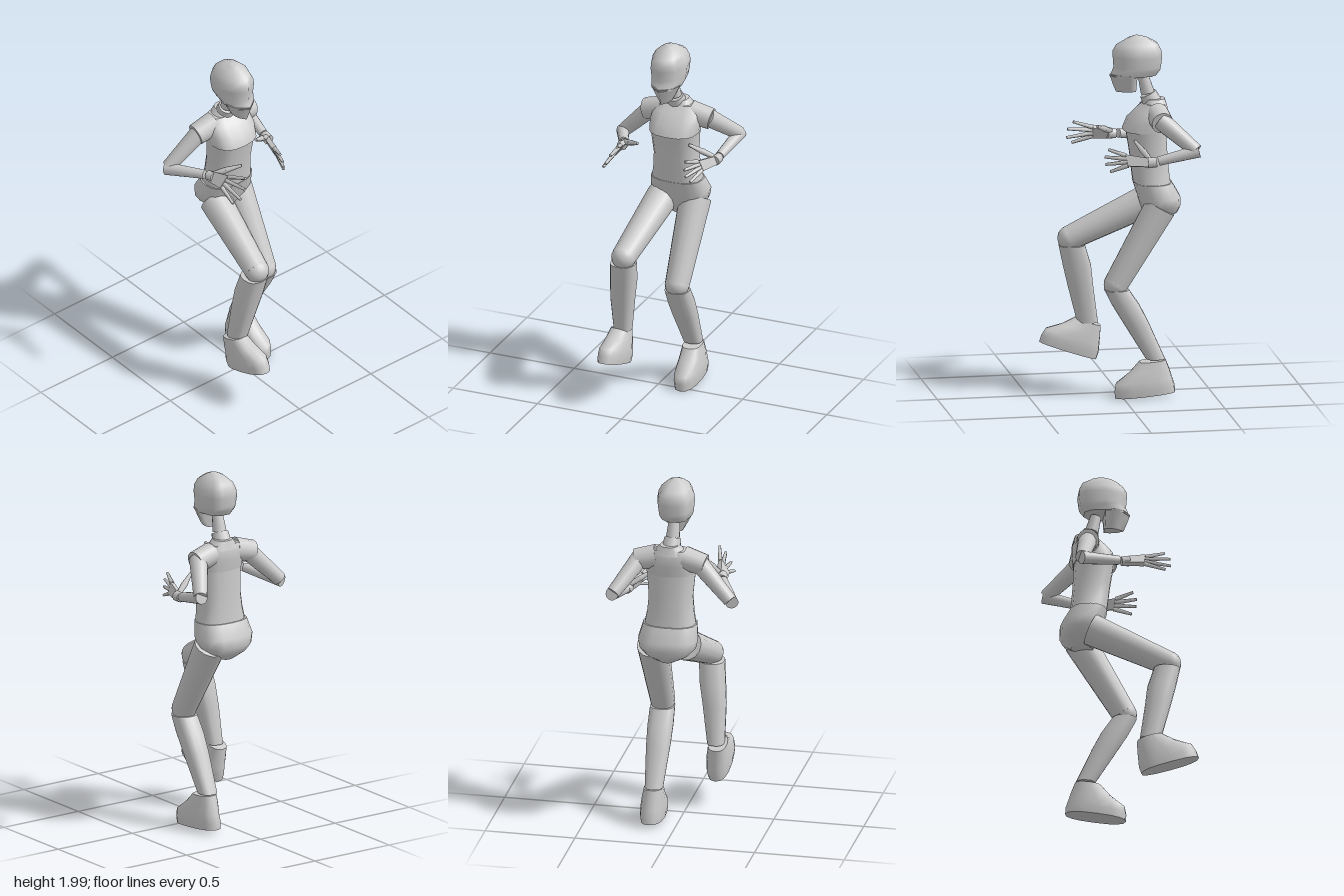
import * as THREE from 'three';
import { ConvexGeometry } from 'three/addons/geometries/ConvexGeometry.js';

const material = new THREE.MeshStandardMaterial({ color: 0xcccccc, side: THREE.DoubleSide });
const V = (p) => new THREE.Vector3(...p);

// Outlines run from the front (z = 1) over +x to the back (z = 0) and round again
const mirrored = (half) => [
  ...half,
  ...half.filter(([x]) => x > 0).reverse().map(([x, z]) => [-x, z]),
];
const oval = Array.from({ length: 16 }, (_, i) => {
  const a = (i / 16) * Math.PI * 2;
  const soft = (v) => Math.sign(v) * Math.abs(v) ** 0.8;
  return [soft(Math.sin(a)), 0.5 + 0.5 * soft(Math.cos(a))];
});
const skull = mirrored([[0, 1], [0.7, 0.83], [1, 0.5], [0.78, 0.12], [0.38, 0]]);
const jawLine = mirrored([[0, 1], [0.75, 0.66], [1, 0.3], [0.9, 0]]);

function add(parent, name, geometry) {
  const mesh = new THREE.Mesh(geometry, material);
  mesh.name = name;
  parent.add(mesh);
  return mesh;
}

// Stacks level rings [y, centreX, halfWidth, zBack, zFront], lowest first, with flat caps
function loft(rings, outline = oval) {
  const n = outline.length;
  const pos = [];
  const index = [];
  const ring = ([y, cx, hw, z0, z1]) =>
    outline.forEach(([x, z]) => pos.push(cx + x * hw, y, z0 + z * (z1 - z0)));
  rings.forEach(ring);
  for (let i = 0; i < rings.length - 1; i++) {
    for (let j = 0; j < n; j++) {
      const a = i * n + j, b = i * n + ((j + 1) % n);
      index.push(a, b, b + n, a, b + n, a + n);
    }
  }
  [rings[0], rings[rings.length - 1]].forEach((r, top) => {
    const start = pos.length / 3;
    ring(r);
    pos.push(r[1], r[0], (r[3] + r[4]) / 2);
    for (let j = 0; j < n; j++) {
      const a = start + j, b = start + ((j + 1) % n);
      index.push(...(top ? [a, b, start + n] : [b, a, start + n]));
    }
  });
  const g = new THREE.BufferGeometry();
  g.setAttribute('position', new THREE.Float32BufferAttribute(pos, 3));
  g.setIndex(index);
  g.computeVertexNormals();
  return g;
}

// Tapered round bar from point a to point b
function limb(parent, name, a, b, ra, rb, sides = 14) {
  const from = V(a), to = V(b);
  const dir = to.clone().sub(from);
  const mesh = add(parent, name, new THREE.CylinderGeometry(rb, ra, dir.length(), sides));
  mesh.position.copy(from).add(to).multiplyScalar(0.5);
  mesh.quaternion.setFromUnitVectors(new THREE.Vector3(0, 1, 0), dir.normalize());
  return mesh;
}

function ball(parent, name, p, r) {
  add(parent, name, new THREE.SphereGeometry(r, 16, 10)).position.set(...p);
}

// Flat palm between the wrist and the knuckles, with four fingers and a thumb
function hand(parent, name, { wrist, index, pinky, tips, thumb }) {
  const group = new THREE.Group();
  group.name = name;
  parent.add(group);
  const w = V(wrist), k0 = V(index), k1 = V(pinky);
  const across = k0.clone().sub(k1);
  const normal = across.clone().cross(k0.clone().sub(w)).normalize();
  const corners = [
    k0, k1,
    w.clone().addScaledVector(across, 0.36),
    w.clone().addScaledVector(across, -0.36),
  ];
  const points = corners.flatMap((c) => [
    c.clone().addScaledVector(normal, 0.013),
    c.clone().addScaledVector(normal, -0.013),
  ]);
  add(group, 'palm', new ConvexGeometry(points));
  tips.forEach((tip, i) => {
    const root = k0.clone().lerp(k1, 0.08 + i * 0.28);
    limb(group, 'finger', root.toArray(), tip, 0.013, 0.008, 6);
  });
  const mid = V(thumb[0]).lerp(V(thumb[1]), 0.45).toArray();
  limb(group, 'thumbBase', thumb[0], mid, 0.014, 0.018, 6);
  limb(group, 'thumbTip', mid, thumb[1], 0.017, 0.008, 6);
}

function foot(parent, name, position, pitch, yaw) {
  const mesh = add(parent, name, loft([
    [0, 0, 0.062, 0, 0.335],
    [0.04, 0, 0.068, 0, 0.335],
    [0.08, 0, 0.066, 0.01, 0.325],
    [0.13, -0.003, 0.06, 0.022, 0.245],
    [0.185, -0.006, 0.052, 0.038, 0.185],
  ]));
  mesh.position.set(...position);
  mesh.rotation.set(pitch, yaw, 0);
}

export function createModel() {
  const model = new THREE.Group();
  model.name = 'posedFigure';

  // Head and neck
  const hx = 0.022;
  add(model, 'cranium', loft([
    [1.78, hx, 0.083, -0.2, 0.052],
    [1.81, hx, 0.095, -0.222, 0.038],
    [1.83, hx, 0.098, -0.226, 0.03],
    [1.885, hx, 0.105, -0.233, 0.034],
    [1.92, hx, 0.099, -0.228, 0.036],
    [1.955, hx, 0.082, -0.212, 0.015],
    [1.985, hx, 0.05, -0.16, -0.04],
    [2.0, hx, 0.015, -0.115, -0.08],
  ], skull));
  add(model, 'jaw', loft([
    [1.69, hx, 0.032, -0.09, 0.016],
    [1.73, hx, 0.055, -0.09, 0.032],
    [1.79, hx, 0.084, -0.09, 0.053],
  ], jawLine));
  limb(model, 'neck', [0.034, 1.58, -0.205], [0.028, 1.675, -0.16], 0.058, 0.046);
  limb(model, 'throat', [0.028, 1.68, -0.158], [0.025, 1.77, -0.135], 0.038, 0.03);

  // Torso
  const tx = 0.038;
  add(model, 'collar', loft([
    [1.6, tx, 0.1, -0.265, -0.13],
    [1.65, tx, 0.052, -0.25, -0.145],
  ]));
  add(model, 'chest', loft([
    [1.48, tx, 0.137, -0.258, -0.018],
    [1.54, tx, 0.142, -0.265, -0.045],
    [1.59, tx, 0.135, -0.265, -0.1],
    [1.625, tx, 0.105, -0.25, -0.14],
  ]));
  add(model, 'waist', loft([
    [1.18, tx, 0.143, -0.278, -0.078],
    [1.25, tx, 0.13, -0.27, -0.068],
    [1.34, tx, 0.122, -0.262, -0.058],
    [1.48, tx, 0.134, -0.254, -0.036],
  ]));
  add(model, 'pelvis', loft([
    [0.98, 0.042, 0.04, -0.27, -0.15],
    [1.02, 0.042, 0.115, -0.315, -0.13],
    [1.06, 0.042, 0.155, -0.33, -0.115],
    [1.11, 0.042, 0.166, -0.33, -0.1],
    [1.19, 0.038, 0.149, -0.285, -0.074],
  ]));

  // Left arm
  limb(model, 'leftShoulder', [0.11, 1.575, -0.195], [0.225, 1.55, -0.205], 0.066, 0.06);
  limb(model, 'leftUpperArm', [0.2, 1.56, -0.2], [0.315, 1.41, -0.375], 0.052, 0.038);
  limb(model, 'leftForearm', [0.318, 1.41, -0.39], [0.29, 1.355, -0.17], 0.036, 0.025);
  limb(model, 'leftCuff', [0.29, 1.35, -0.162], [0.283, 1.347, -0.115], 0.027, 0.03, 8);
  hand(model, 'leftHand', {
    wrist: [0.287, 1.345, -0.14],
    index: [0.23, 1.385, 0],
    pinky: [0.255, 1.325, -0.01],
    tips: [[0.197, 1.41, 0.09], [0.2, 1.37, 0.11], [0.207, 1.33, 0.108], [0.225, 1.292, 0.085]],
    thumb: [[0.275, 1.365, -0.125], [0.152, 1.44, -0.065]],
  });

  // Right arm
  limb(model, 'rightShoulder', [-0.04, 1.575, -0.19], [-0.16, 1.545, -0.2], 0.067, 0.06);
  limb(model, 'rightUpperArm', [-0.13, 1.55, -0.2], [-0.31, 1.37, -0.25], 0.052, 0.038);
  limb(model, 'rightForearm', [-0.322, 1.36, -0.255], [-0.225, 1.4, -0.04], 0.036, 0.025);
  limb(model, 'rightCuff', [-0.213, 1.4, -0.025], [-0.208, 1.407, 0.02], 0.027, 0.03, 8);
  hand(model, 'rightHand', {
    wrist: [-0.212, 1.403, -0.005],
    index: [-0.175, 1.455, 0.11],
    pinky: [-0.222, 1.385, 0.1],
    tips: [[-0.15, 1.49, 0.22], [-0.178, 1.445, 0.248], [-0.207, 1.39, 0.248], [-0.233, 1.355, 0.215]],
    thumb: [[-0.2, 1.42, 0.005], [-0.08, 1.475, 0.1]],
  });

  // Left leg, standing
  limb(model, 'leftThigh', [0.128, 1.06, -0.21], [0.127, 0.64, 0.035], 0.089, 0.068);
  ball(model, 'leftKnee', [0.127, 0.64, 0.035], 0.068);
  add(model, 'leftShin', loft([
    [0.215, 0.128, 0.05, -0.235, -0.13],
    [0.42, 0.127, 0.066, -0.145, -0.005],
    [0.52, 0.127, 0.07, -0.095, 0.055],
    [0.61, 0.127, 0.068, -0.035, 0.1],
  ]));
  foot(model, 'leftFoot', [0.137, 0.03, -0.29], 0.072, 0.03);

  // Right leg, raised forward
  limb(model, 'rightThigh', [-0.045, 1.06, -0.17], [-0.097, 0.855, 0.25], 0.089, 0.068);
  ball(model, 'rightKnee', [-0.097, 0.855, 0.25], 0.068);
  add(model, 'rightShin', loft([
    [0.37, -0.147, 0.047, 0.085, 0.2],
    [0.58, -0.13, 0.064, 0.115, 0.255],
    [0.7, -0.115, 0.07, 0.13, 0.285],
    [0.815, -0.104, 0.07, 0.165, 0.31],
  ]));
  foot(model, 'rightFoot', [-0.152, 0.16, 0.093], -0.335, 0);

  return model;
}
